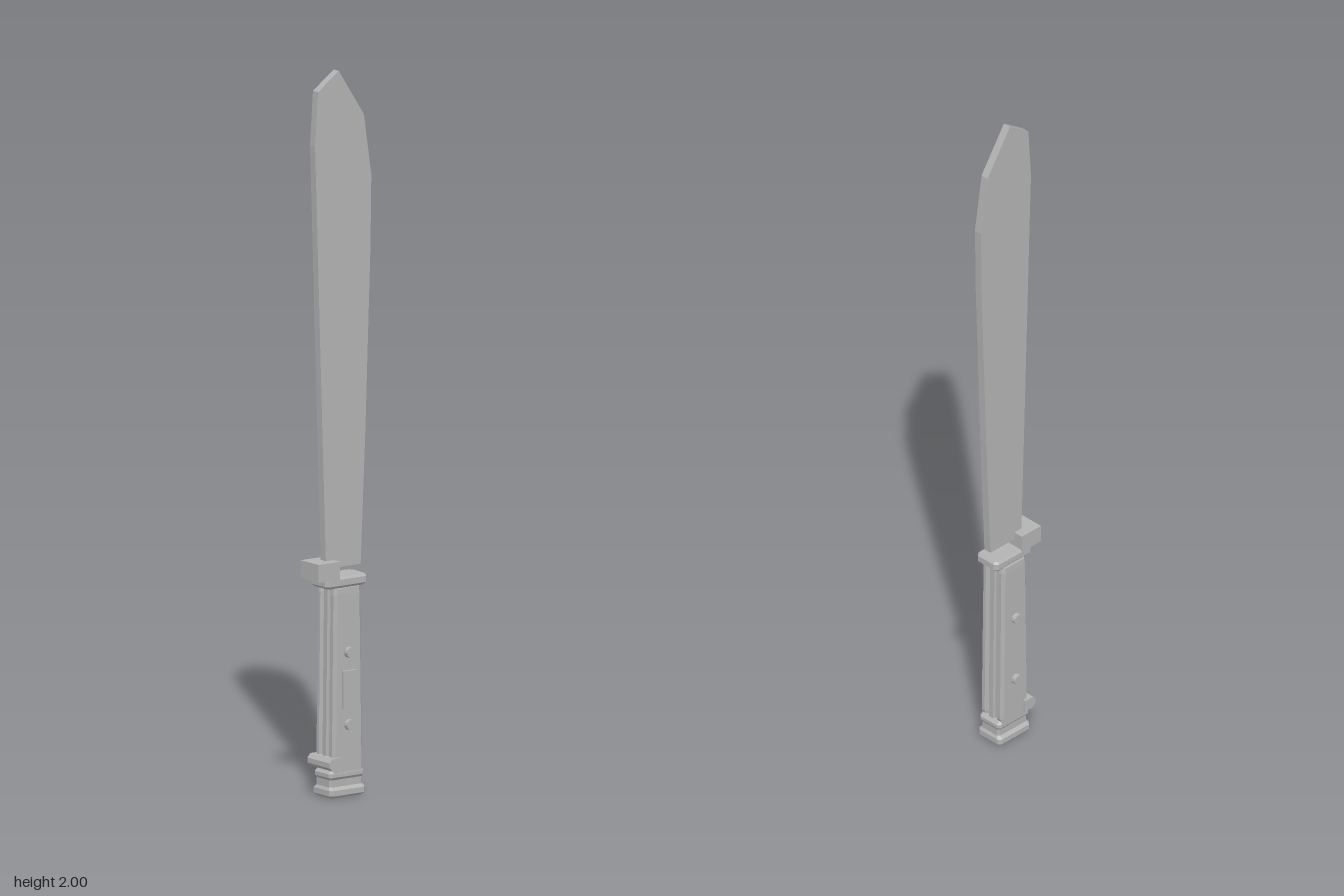
import * as THREE from 'three';

const steel = new THREE.MeshStandardMaterial({ color: 0xb3b3b3, flatShading: true });
steel.name = 'plain grey';

// Stack of chamfered rectangles, each ring [y, halfX, halfZ, chamfer, centreX]
function loft(rings) {
  const pos = [];
  const loops = rings.map(([y, hx, hz, c, cx = 0]) => [
    [hx, -hz + c], [hx, hz - c], [hx - c, hz], [-hx + c, hz],
    [-hx, hz - c], [-hx, -hz + c], [-hx + c, -hz], [hx - c, -hz],
  ].map(([x, z]) => [x + cx, y, z]));
  const tri = (a, b, c) => pos.push(...a, ...b, ...c);
  for (let r = 0; r < loops.length - 1; r++) {
    for (let i = 0; i < 8; i++) {
      const j = (i + 1) % 8;
      const low = loops[r], up = loops[r + 1];
      tri(low[i], up[i], low[j]);
      tri(low[j], up[i], up[j]);
    }
  }
  const bottom = loops[0], top = loops[loops.length - 1];
  for (let i = 1; i < 7; i++) {
    tri(bottom[0], bottom[i], bottom[i + 1]);
    tri(top[0], top[i + 1], top[i]);
  }
  const geo = new THREE.BufferGeometry();
  geo.setAttribute('position', new THREE.Float32BufferAttribute(pos, 3));
  geo.computeVertexNormals();
  return geo;
}

// Outline in (z, y), extruded across x and centred
function sideProfile(points, width) {
  const shape = new THREE.Shape(points.map(([z, y]) => new THREE.Vector2(-z, y)));
  const geo = new THREE.ExtrudeGeometry(shape, { depth: width, bevelEnabled: false });
  return geo.rotateY(Math.PI / 2).translate(-width / 2, 0, 0);
}

export function createModel() {
  const model = new THREE.Group();
  model.name = 'machete';
  const add = (name, geo, x = 0, y = 0, z = 0) => {
    const mesh = new THREE.Mesh(geo, steel);
    mesh.name = name;
    mesh.position.set(x, y, z);
    model.add(mesh);
    return mesh;
  };

  // Blade, widening toward the clipped tip
  add('blade', sideProfile([
    [0.053, 0.63], [-0.064, 0.63], [-0.08, 1.0], [-0.097, 1.5], [-0.1, 1.7],
    [-0.075, 1.87], [0.01, 2.0], [0.08, 1.95], [0.09, 1.8], [0.085, 1.65], [0.065, 1.0],
  ], 0.023));

  // Guard plate and the block at its front
  add('guardPlate', loft([
    [0.578, 0.034, 0.062, 0.008], [0.585, 0.04, 0.07, 0.01],
    [0.602, 0.04, 0.07, 0.01], [0.608, 0.035, 0.065, 0.008],
  ]));
  add('guardBlock', new THREE.BoxGeometry(0.08, 0.05, 0.073), 0, 0.627, 0.0635);

  // Handle: core, central tang and two grooved scales
  add('handleCore', loft([[0.07, 0.034, 0.043, 0.005], [0.58, 0.034, 0.037, 0.005]]));
  add('tang', loft([[0.07, 0.011, 0.051, 0.003], [0.58, 0.011, 0.045, 0.003]]));
  for (const side of [-1, 1]) {
    add('gripScale', loft([
      [0.07, 0.0135, 0.046, 0.006, side * 0.0295],
      [0.085, 0.0135, 0.051, 0.008, side * 0.0295],
      [0.56, 0.0125, 0.045, 0.008, side * 0.0295],
      [0.578, 0.0115, 0.041, 0.006, side * 0.0295],
    ]));
    // Rivets
    for (const y of [0.2, 0.4]) {
      const rivet = new THREE.CylinderGeometry(0.015, 0.015, 0.02, 12).rotateZ(Math.PI / 2);
      add('rivet', rivet, side * 0.046, y, 0);
    }
  }
  // Raised plate on the left scale
  add('sidePlate', new THREE.BoxGeometry(0.016, 0.105, 0.046), 0.043, 0.298, 0);

  // Lug across the lower front of the handle
  add('frontLug', sideProfile([
    [0.03, 0.078], [0.058, 0.078], [0.07, 0.088], [0.07, 0.102], [0.06, 0.113], [0.03, 0.113],
  ], 0.1));

  // Pommel with waist
  add('pommel', loft([
    [0, 0.036, 0.052, 0.006], [0.007, 0.043, 0.06, 0.008],
    [0.022, 0.043, 0.06, 0.008], [0.03, 0.034, 0.055, 0.006],
    [0.05, 0.034, 0.055, 0.006], [0.057, 0.039, 0.059, 0.008],
    [0.067, 0.039, 0.059, 0.008], [0.076, 0.036, 0.05, 0.006],
  ]));
  return model;
}
